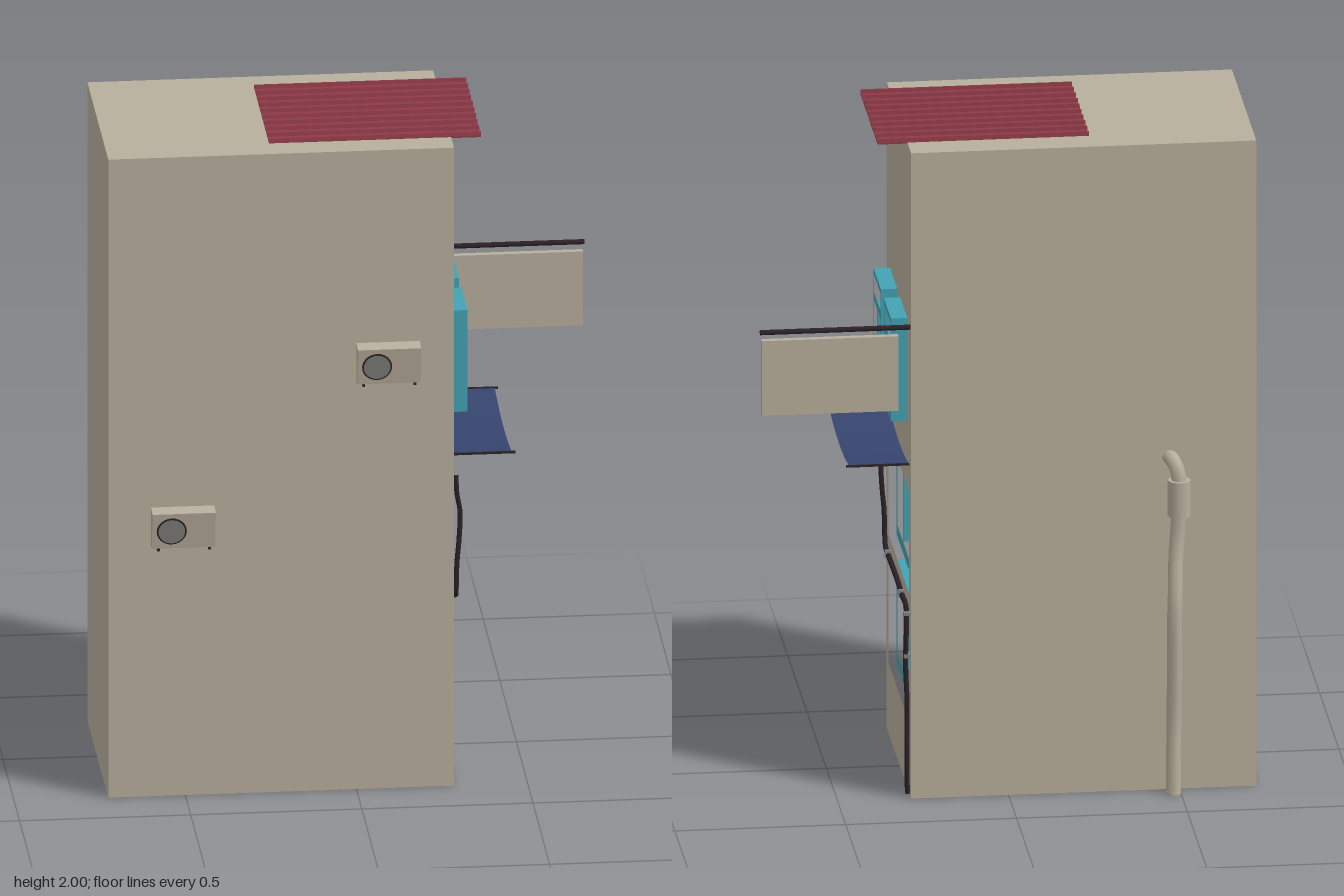
import * as THREE from 'three';

const mat = (name, color, side = THREE.FrontSide) => {
  const m = new THREE.MeshStandardMaterial({ color, side });
  m.name = name;
  return m;
};

export function createModel() {
  const root = new THREE.Group();
  root.name = 'building';
  const plaster = mat('plaster', 0xb8af9c);
  const teal = mat('teal', 0x43a2b2);
  const maroon = mat('maroon', 0x8f3a48);
  const navy = mat('navy', 0x36456f, THREE.DoubleSide);
  const dark = mat('darkCable', 0x2b2228);
  const grey = mat('fanGrey', 0x82827e);

  const WALL = 0.285, BACK = -0.293, FRONT = 0.338;

  const add = (name, geo, material, parent = root) => {
    const m = new THREE.Mesh(geo, material);
    m.name = name;
    parent.add(m);
    return m;
  };
  // Box given by its limits
  const box = (name, x0, x1, y0, y1, z0, z1, material, parent) =>
    add(name, new THREE.BoxGeometry(x1 - x0, y1 - y0, z1 - z0)
      .translate((x0 + x1) / 2, (y0 + y1) / 2, (z0 + z1) / 2), material, parent);
  // Extrudes a [z, y] outline along x, with optional holes
  const prism = (name, outline, x0, x1, material, holes = [], parent) => {
    const pts = (o) => o.map(([z, y]) => new THREE.Vector2(-z, y));
    const shape = new THREE.Shape(pts(outline));
    holes.forEach((h) => shape.holes.push(new THREE.Path(pts(h))));
    const geo = new THREE.ExtrudeGeometry(shape, { depth: x1 - x0, bevelEnabled: false });
    return add(name, geo.rotateY(Math.PI / 2).translate(x0, 0, 0), material, parent);
  };
  const rect = (z0, z1, y0, y1) => [[z0, y0], [z1, y0], [z1, y1], [z0, y1]];
  const tube = (name, pts, radius, sides, material, parent, steps = 60) =>
    add(name, new THREE.TubeGeometry(
      new THREE.CatmullRomCurve3(pts.map((p) => new THREE.Vector3(...p)), false, 'centripetal'),
      steps, radius, sides, false), material, parent);

  // Main block, with a street wall that has two wide openings
  const openings = [rect(-0.237, 0.293, 0.215, 0.53), rect(-0.237, 0.293, 0.612, 0.928)];
  box('mainBlock', -0.725, 0.2, 0, 1.987, BACK, FRONT, plaster);
  prism('streetWall', rect(BACK, FRONT, 0, 1.987), 0.2, WALL, plaster, openings);

  // A window is a frame with holes over a back panel
  const windowUnit = (name, z0, z1, y0, y1, x0, x1, panes) => {
    const g = new THREE.Group();
    g.name = name;
    root.add(g);
    prism('windowFrame', rect(z0, z1, y0, y1), x0, x1, teal, panes, g);
    box('windowPanes', x0 - 0.01, x0 + 0.004, y0, y1, z0, z1, teal, g);
  };

  // Two wide recessed windows, three panes each
  for (const y of [0.215, 0.612]) {
    const panes = [-0.208, -0.044, 0.12].map((z) => rect(z, z + 0.148, y + 0.035, y + 0.282));
    windowUnit('wideWindow', -0.237, 0.293, y, y + 0.316, 0.214, 0.262, panes);
  }
  // Two projecting windows with a transom and two casements
  for (const z of [-0.195, 0.065]) {
    windowUnit('upperWindow', z, z + 0.185, 1.13, 1.446, WALL, 0.333, [
      rect(z + 0.013, z + 0.172, 1.375, 1.43),
      rect(z + 0.013, z + 0.084, 1.15, 1.352),
      rect(z + 0.101, z + 0.172, 1.15, 1.352),
    ]);
  }

  // Ribbed roof sheet
  const roof = [[-0.197, 1.984], [-0.197, 1.989]];
  for (let i = 0; i < 10; i++) {
    const z = -0.193 + i * 0.0487;
    roof.push([z - 0.003, 1.989], [z - 0.001, 2], [z + 0.003, 2], [z + 0.006, 1.989]);
  }
  roof.push([0.252, 1.989], [0.252, 1.984]);
  prism('roofSheet', roof, -0.247, 0.372, maroon);

  // Sagging cloth awning between two rods
  const cloth = new THREE.PlaneGeometry(0.175, 0.525, 1, 14);
  cloth.rotateX(Math.PI / 2).translate(0.3725, 0, 0.0245);
  const p = cloth.attributes.position;
  for (let i = 0; i < p.count; i++) {
    const t = (p.getZ(i) - 0.0245) / 0.2625;
    p.setY(i, 0.99 + 0.022 * t * t);
  }
  cloth.computeVertexNormals();
  add('awningCloth', cloth, navy);
  for (const z of [-0.241, 0.284]) box('awningRod', WALL, 0.47, 1.009, 1.015, z - 0.003, z + 0.003, dark);

  // Hanging sign board and its bar
  box('signBoard', 0.32, 0.72, 1.19, 1.42, -0.278, -0.258, plaster);
  add('signBar', new THREE.CylinderGeometry(0.008, 0.008, 0.44, 8)
    .rotateZ(Math.PI / 2).translate(0.505, 1.445, -0.273), dark);

  // Air conditioners with a slanted face and round fan
  for (const [x, y] of [[-0.6, 0.78], [0, 1.27]]) {
    const g = new THREE.Group();
    g.name = 'airConditioner';
    g.position.set(x, y, 0);
    root.add(g);
    prism('airConditionerCase', [[0.33, 0], [0.364, 0], [0.383, 0.113], [0.33, 0.12]], 0, 0.185, plaster, [], g);
    const fan = new THREE.Group();
    fan.name = 'fan';
    fan.position.set(0.057, 0.056, 0.3735);
    fan.rotation.x = 0.166;
    g.add(fan);
    add('fanRing', new THREE.TorusGeometry(0.041, 0.003, 6, 24), dark, fan);
    add('fanDisc', new THREE.CylinderGeometry(0.04, 0.04, 0.004, 24).rotateX(Math.PI / 2), grey, fan);
    for (const fx of [0.015, 0.165]) box('foot', fx, fx + 0.008, -0.008, 0, 0.335, 0.364, dark, g);
  }

  // Drain pipe on the back wall, with a sleeve under its elbow
  const pipe = new THREE.Group();
  pipe.name = 'drainPipe';
  root.add(pipe);
  tube('pipe', [
    [-0.47, 1.022, -0.285], [-0.475, 1.022, -0.305], [-0.485, 1.008, -0.324], [-0.492, 0.98, -0.332],
    [-0.495, 0.91, -0.333], [-0.49, 0.8, -0.332], [-0.485, 0.74, -0.337], [-0.48, 0.61, -0.359],
    [-0.478, 0.53, -0.359], [-0.48, 0.35, -0.338], [-0.48, 0.2, -0.325], [-0.478, 0.003, -0.333],
  ], 0.022, 8, plaster, pipe);
  add('pipeSleeve', new THREE.CylinderGeometry(0.034, 0.034, 0.11, 8)
    .translate(-0.495, 0.91, -0.333), plaster, pipe);
  for (const [y, z, x] of [[0.003, -0.333, -0.478]]) {
    add('pipeEnd', new THREE.CylinderGeometry(0.022, 0.022, 0.006, 8).translate(x, y, z), plaster, pipe);
  }

  // Cable running down and across the street wall
  const cables = new THREE.Group();
  cables.name = 'cables';
  root.add(cables);
  tube('mainCable', [
    [0.293, 0.96, 0.313], [0.296, 0.9, 0.311], [0.306, 0.84, 0.304], [0.303, 0.76, 0.307],
    [0.296, 0.68, 0.311], [0.294, 0.6, 0.31], [0.294, 0.577, 0.295], [0.294, 0.574, 0.2],
    [0.294, 0.578, 0], [0.294, 0.574, -0.15], [0.294, 0.576, -0.235], [0.294, 0.56, -0.255],
    [0.295, 0.5, -0.257], [0.298, 0.4, -0.262], [0.294, 0.3, -0.264], [0.294, 0.15, -0.262],
    [0.292, 0.005, -0.256],
  ], 0.008, 6, dark, cables, 90);
  tube('sideCable', [
    [0.294, 0.58, -0.25], [0.297, 0.5, -0.266], [0.294, 0.36, -0.255], [0.297, 0.2, -0.268],
    [0.292, 0.005, -0.262],
  ], 0.005, 6, dark, cables, 40);
  // Clips
  for (const z of [0.22, -0.13]) box('cableClip', WALL, 0.304, 0.565, 0.587, z - 0.007, z + 0.007, grey, cables);
  for (const y of [0.43, 0.56]) box('cableClip', WALL, 0.304, y - 0.005, y + 0.005, -0.272, -0.246, grey, cables);

  return root;
}
